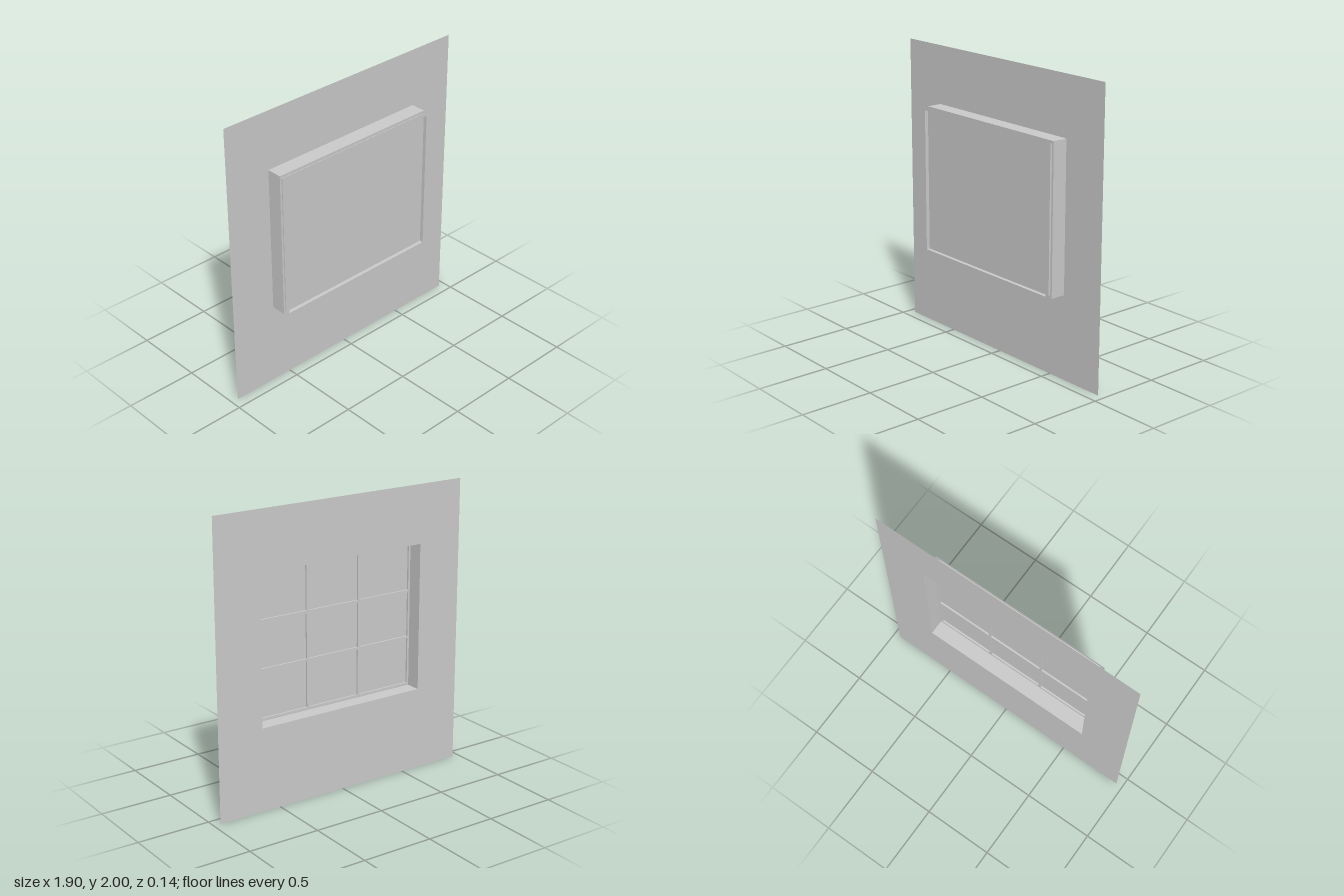
import * as THREE from 'three';

const material = new THREE.MeshStandardMaterial({ color: 0xcccccc, side: THREE.DoubleSide });
const CY = 1.087; // height of the window centre
const BACK = -0.072, STEP = 0.033, PANE = 0.046, FRONT = 0.071;
const REVEAL = [1.25, 1.02], SASH = [1.222, 0.98], TRIM = [1.275, 1.032];

function add(parent, name, geometry, x = 0, y = 0, z = 0) {
  const mesh = new THREE.Mesh(geometry, material);
  mesh.name = name;
  mesh.position.set(x, y, z);
  parent.add(mesh);
  return mesh;
}

// Traces a rectangle centred on (0, cy)
function rectangle(path, [w, h], cy = 0) {
  path.moveTo(-w / 2, cy - h / 2);
  path.lineTo(w / 2, cy - h / 2);
  path.lineTo(w / 2, cy + h / 2);
  path.lineTo(-w / 2, cy + h / 2);
  path.closePath();
  return path;
}

// Flat sheet with a rectangular opening
function sheet(outer, hole, outerY = 0) {
  const shape = rectangle(new THREE.Shape(), outer, outerY);
  shape.holes.push(rectangle(new THREE.Path(), hole));
  return new THREE.ShapeGeometry(shape);
}

// Four thin walls running from z0 to z1, open at both ends
function sleeve(parent, name, [w, h], z0, z1) {
  const group = new THREE.Group();
  group.name = name;
  const depth = z1 - z0, z = (z0 + z1) / 2;
  for (const s of [-1, 1]) {
    add(group, name + 'Side', new THREE.PlaneGeometry(depth, h).rotateY(s * Math.PI / 2), s * w / 2, 0, z);
    add(group, name + (s > 0 ? 'Top' : 'Bottom'),
      new THREE.PlaneGeometry(w, depth).rotateX(-s * Math.PI / 2), 0, s * h / 2, z);
  }
  parent.add(group);
}

export function createModel() {
  const model = new THREE.Group();
  model.name = 'wallWindow';
  const frame = new THREE.Group();
  frame.name = 'window';
  frame.position.y = CY;
  model.add(frame);

  // Wall sheet with the window opening
  add(frame, 'wall', sheet([1.905, 2], REVEAL, 1 - CY), 0, 0, BACK);

  // Deep reveal, stepping in to the shallower sash
  sleeve(frame, 'reveal', REVEAL, BACK, STEP);
  add(frame, 'sashBorder', sheet(REVEAL, SASH), 0, 0, STEP);
  sleeve(frame, 'sash', SASH, STEP, FRONT);

  // Flat trim around the front edge
  add(frame, 'frontTrim', sheet(TRIM, SASH), 0, 0, FRONT);

  // Pane and the glazing bars behind it
  add(frame, 'pane', new THREE.PlaneGeometry(...SASH), 0, 0, PANE);
  const bar = 0.018, depth = PANE - STEP - 0.001, z = STEP + depth / 2;
  for (const s of [-1, 1]) {
    add(frame, 'verticalBar', new THREE.BoxGeometry(bar, SASH[1], depth), s * SASH[0] / 6, 0, z);
    add(frame, 'horizontalBar', new THREE.BoxGeometry(SASH[0], bar, depth), 0, s * SASH[1] / 6, z);
  }
  return model;
}
